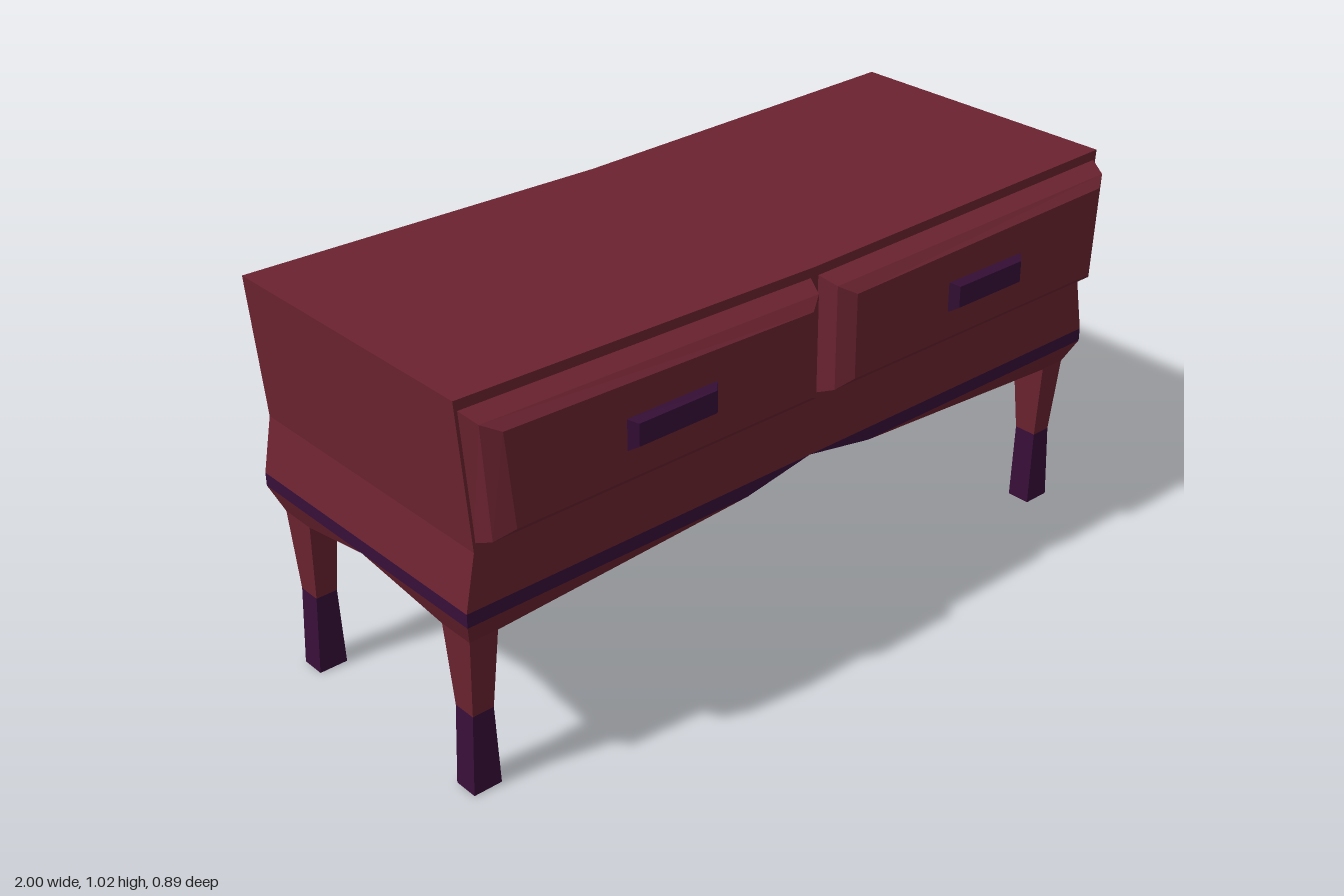
import * as THREE from 'three';

const ZC = -0.05; // depth centre of the cabinet body

const flat = (color, name) => {
  const m = new THREE.MeshStandardMaterial({ color });
  m.name = name;
  return m;
};

// Flat-faced mesh from convex polygons; mirrored by sx, sz about x = 0 and the body centre
function polyMesh(name, material, faces, sx = 1, sz = 1) {
  const pos = [];
  for (const face of faces) {
    const f = sx * sz < 0 ? [face[0], ...face.slice(1).reverse()] : face;
    for (let i = 1; i < f.length - 1; i++) {
      for (const [x, y, z] of [f[0], f[i], f[i + 1]]) pos.push(x * sx, y, z * sz + ZC);
    }
  }
  const g = new THREE.BufferGeometry();
  g.setAttribute('position', new THREE.Float32BufferAttribute(pos, 3));
  g.computeVertexNormals();
  const mesh = new THREE.Mesh(g, material);
  mesh.name = name;
  return mesh;
}

// Side faces joining successive four-point rings
function loft(rings) {
  const faces = [];
  for (let k = 0; k < rings.length - 1; k++) {
    for (let i = 0; i < 4; i++) {
      const j = (i + 1) % 4;
      faces.push([rings[k][i], rings[k][j], rings[k + 1][j], rings[k + 1][i]]);
    }
  }
  return faces;
}

// Horizontal ring for a leg
const legRing = (y, x0, x1, z0, z1) => [[x0, y, z1], [x1, y, z1], [x1, y, z0], [x0, y, z0]];

// Upright ring: left, bottom, right at bottom, right at top, top at left, top at right
const faceRing = (z, x0, y0, x1b, x1t, yl, yr) =>
  [[x0, y0, z - ZC], [x1b, y0, z - ZC], [x1t, yr, z - ZC], [x0, yl, z - ZC]];

export function createModel() {
  const model = new THREE.Group();
  model.name = 'sideboard';
  const red = flat(0x6b2330, 'dark red wood');
  const purple = flat(0x370f38, 'dark purple');

  // Cabinet with pinched sides and a dipped top
  const shape = new THREE.Shape([
    [-1, 0.52], [0, 0.52], [1, 0.52], [0.972, 0.66], [1, 1.025],
    [0, 1.007], [-1, 1.025], [-0.972, 0.66],
  ].map(([x, y]) => new THREE.Vector2(x, y)));
  const cabinet = new THREE.Mesh(
    new THREE.ExtrudeGeometry(shape, { depth: 0.79, bevelEnabled: false }), red);
  cabinet.position.z = ZC - 0.395;
  cabinet.name = 'cabinet';
  model.add(cabinet);

  // Outline points of one quarter of the base
  const A = [1, 0.485, 0.395], B = [0.2, 0.485, 0.395], C = [0, 0.52, 0.395];
  const M = [1, 0.485, 0], O = [0, 0.515, 0];
  const topA = [1, 0.52, 0.395], topM = [1, 0.52, 0];
  const legTop = legRing(0.42, 0.9, 0.975, 0.262, 0.362);
  const [p, q, r, s] = legTop;
  const knee = legRing(0.21, 0.91, 0.967, 0.28, 0.343);
  const foot = legRing(0, 0.902, 0.978, 0.28, 0.345);

  for (const sx of [1, -1]) {
    for (const sz of [1, -1]) {
      const add = (name, mat, faces) => model.add(polyMesh(name, mat, faces, sx, sz));
      add('trimBand', purple, [[C, B, A, topA], [A, M, topM, topA]]);
      add('apron', red, [[B, p, q, A], [A, q, r, M]]);
      add('underside', red, [[s, p, B, C, O, M, r]]);
      add('leg', red, loft([knee, legTop]));
      add('footSleeve', purple, loft([foot, knee]));
      add('footSole', red, [[foot[0], foot[3], foot[2], foot[1]]]);
    }

    // Bevelled drawer front
    const drawer = [
      faceRing(0.34, 0.01, 0.68, 0.968, 0.992, 0.985, 1.002),
      faceRing(0.39, 0.03, 0.70, 0.955, 0.972, 0.965, 0.98),
      faceRing(0.415, 0.07, 0.725, 0.91, 0.932, 0.942, 0.96),
    ];
    model.add(polyMesh('drawerFront', red, [...loft(drawer), drawer[2]], sx));

    // Drawer handle
    const handle = [
      faceRing(0.413, 0.385, 0.815, 0.61, 0.61, 0.87, 0.87),
      faceRing(0.428, 0.37, 0.804, 0.625, 0.625, 0.88, 0.88),
      faceRing(0.446, 0.388, 0.815, 0.607, 0.607, 0.87, 0.87),
    ];
    const back = [handle[0][0], handle[0][3], handle[0][2], handle[0][1]];
    model.add(polyMesh('drawerHandle', purple, [...loft(handle), handle[2], back], sx));
  }
  return model;
}
